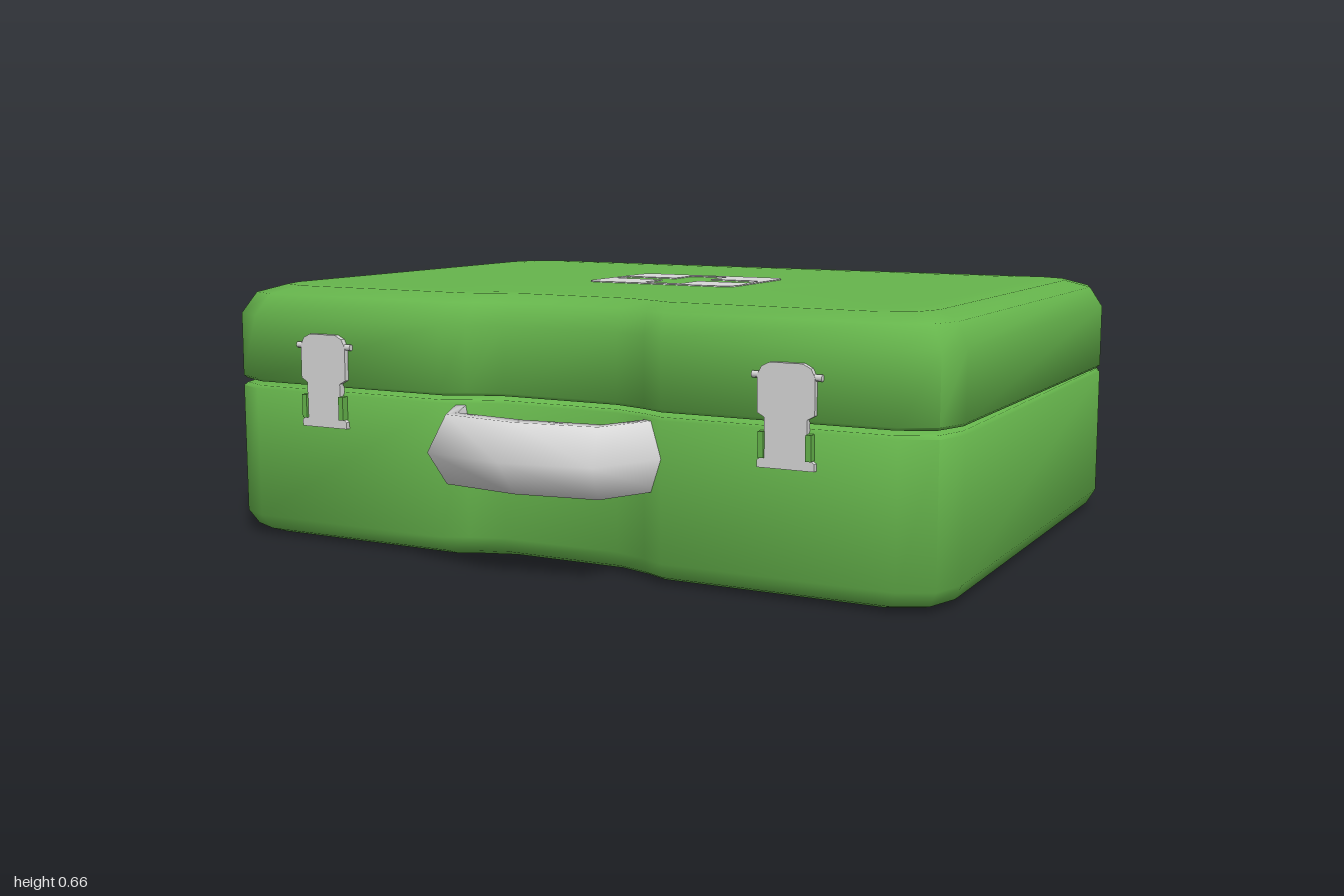
import * as THREE from 'three';
import { mergeVertices, toCreasedNormals } from 'three/addons/utils/BufferGeometryUtils.js';

const green = new THREE.MeshStandardMaterial({ color: 0x66b54c });
green.name = 'case green';
const grey = new THREE.MeshStandardMaterial({ color: 0xd8d8d8 });
grey.name = 'light grey';

function add(parent, name, geometry, material, x = 0, y = 0, z = 0) {
  const mesh = new THREE.Mesh(geometry, material);
  mesh.name = name;
  mesh.position.set(x, y, z);
  parent.add(mesh);
  return mesh;
}

// Skin over a stack of closed rings; horizontal end caps are optional.
function loft(rings, capped, crease) {
  const n = rings[0].length, index = [];
  for (let i = 0; i < rings.length - 1; i++) {
    for (let j = 0; j < n; j++) {
      const a = i * n + j, b = i * n + (j + 1) % n;
      index.push(a, b, b + n, a, b + n, a + n);
    }
  }
  if (capped) {
    const flat = rings[0].map((p) => new THREE.Vector2(p.x, -p.z));
    const top = (rings.length - 1) * n;
    for (const [a, b, c] of THREE.ShapeUtils.triangulateShape(flat, [])) {
      index.push(a, c, b, top + a, top + b, top + c);
    }
  }
  const geometry = new THREE.BufferGeometry().setFromPoints(rings.flat());
  geometry.setIndex(index);
  if (crease < Math.PI) return toCreasedNormals(geometry, crease);
  geometry.computeVertexNormals();
  return geometry;
}

// Case outline with bevelled corners and a recess behind the handle.
const half = [[0.16, 0.6], [0.25, 0.63], [0.31, 0.66], [0.89, 0.66], [0.97, 0.62],
  [1, 0.53], [1, -0.71], [0.97, -0.8], [0.9, -0.84]];
const outline = [...half, ...half.map(([x, z]) => [-x, z]).reverse()];

// Shell from [height, inset] levels.
function shell(levels) {
  const rings = levels.map(([y, inset]) => outline.map(([x, z]) =>
    new THREE.Vector3(x * (1 - inset), y, -0.09 + (z + 0.09) * (1 - inset / 0.75))));
  return loft(rings, true, 1.05);
}

function roundedRect(w, h, r) {
  const s = new THREE.Shape();
  s.absarc(w / 2 - r, h / 2 - r, r, 0, Math.PI / 2);
  s.absarc(-w / 2 + r, h / 2 - r, r, Math.PI / 2, Math.PI);
  s.absarc(-w / 2 + r, -h / 2 + r, r, Math.PI, Math.PI * 1.5);
  s.absarc(w / 2 - r, -h / 2 + r, r, Math.PI * 1.5, Math.PI * 2);
  return s;
}

// Rounded plate with a cross cut out, lying flat.
function emblemGeometry() {
  const plate = roundedRect(0.44, 0.355, 0.04);
  const quarter = [[0.2, 0.04], [0.055, 0.04], [0.055, 0.143]];
  const mirrored = quarter.map(([x, y]) => [-x, y]).reverse();
  const upper = [...quarter, ...mirrored];
  const lower = upper.map(([x, y]) => [-x, -y]);
  plate.holes.push(new THREE.Path([...upper, ...lower].map(([x, y]) => new THREE.Vector2(x, y))));
  const geometry = new THREE.ExtrudeGeometry(plate, { depth: 0.006, bevelEnabled: false, curveSegments: 5 });
  return geometry.rotateX(-Math.PI / 2);
}

// Carry handle with a six-sided section following a bowed path.
function handleGeometry() {
  const outer = [[0.33, 0.62], [0.225, 0.835], [0, 0.875]];
  const inner = [[0.25, 0.6], [0.195, 0.72], [0, 0.74]];
  const ring = (i, side) => {
    const at = (t, y) => new THREE.Vector3(
      side * THREE.MathUtils.lerp(inner[i][0], outer[i][0], t), y,
      THREE.MathUtils.lerp(inner[i][1], outer[i][1], t));
    return [at(0.18, 0.385), at(0.5, 0.385), at(1, 0.3), at(0.5, 0.215), at(0.18, 0.215), at(0, 0.3)];
  };
  const rings = [ring(0, -1), ring(1, -1), ring(2, 1), ring(1, 1), ring(0, 1)];
  return mergeVertices(loft(rings, false, Math.PI));
}

function makeLatch(x) {
  const latch = new THREE.Group();
  latch.name = 'latch';
  latch.position.set(x, 0, 0.655);
  // Clasp: wide rounded head, narrow stem and flared foot.
  const side = [[0.07, 0.305], [0.07, 0.322], [0.052, 0.335], [0.052, 0.42], [0.07, 0.43],
    [0.07, 0.515], [0.06, 0.535], [0.04, 0.545]];
  const points = [...side, ...side.map(([px, y]) => [-px, y]).reverse()];
  const clasp = new THREE.Shape(points.map(([px, y]) => new THREE.Vector2(px, y)));
  add(latch, 'clasp', new THREE.ExtrudeGeometry(clasp, { depth: 0.018, bevelEnabled: false }), grey);
  const pin = add(latch, 'pin', new THREE.CylinderGeometry(0.008, 0.008, 0.17, 8), grey, 0, 0.515, 0.01);
  pin.rotation.z = Math.PI / 2;
  for (const s of [-1, 1]) {
    add(latch, 'catch', new THREE.BoxGeometry(0.014, 0.06, 0.025), green, s * 0.058, 0.358, 0.0125);
  }
  return latch;
}

function makeHinge(x) {
  const hinge = new THREE.Group();
  hinge.name = 'hinge';
  hinge.position.set(x, 0.4, -0.853);
  // Five knuckles of alternating thickness.
  for (let i = 0; i < 5; i++) {
    const r = i % 2 ? 0.024 : 0.027;
    const knuckle = add(hinge, 'knuckle', new THREE.CylinderGeometry(r, r, 0.081, 8), grey, (i - 2) * 0.081);
    knuckle.rotation.z = Math.PI / 2;
  }
  return hinge;
}

export function createModel() {
  const model = new THREE.Group();
  model.name = 'firstAidCase';

  // Lower shell
  add(model, 'base', shell([[0, 0.1], [0, 0.05], [0.012, 0.02], [0.05, 0], [0.39, 0], [0.398, 0.008]]), green);

  // Lid, opened very slightly about the back edge
  const lid = new THREE.Group();
  lid.name = 'lid';
  lid.position.set(0, 0.4, -0.84);
  lid.rotation.x = -0.006;
  model.add(lid);
  add(lid, 'lidShell', shell([[0, 0.008], [0.008, 0], [0.175, 0], [0.23, 0.03], [0.25, 0.09], [0.251, 0.15]]),
    green, 0, 0, 0.84);

  // Emblems on the lid and underside
  add(lid, 'topEmblem', emblemGeometry(), grey, 0, 0.248, 0.753);
  add(model, 'bottomEmblem', emblemGeometry(), grey, 0, -0.003, -0.087);

  // Fittings
  add(model, 'handle', handleGeometry(), grey);
  for (const x of [-0.66, 0.63]) model.add(makeLatch(x));
  for (const x of [-0.5, 0.5]) model.add(makeHinge(x));
  return model;
}
